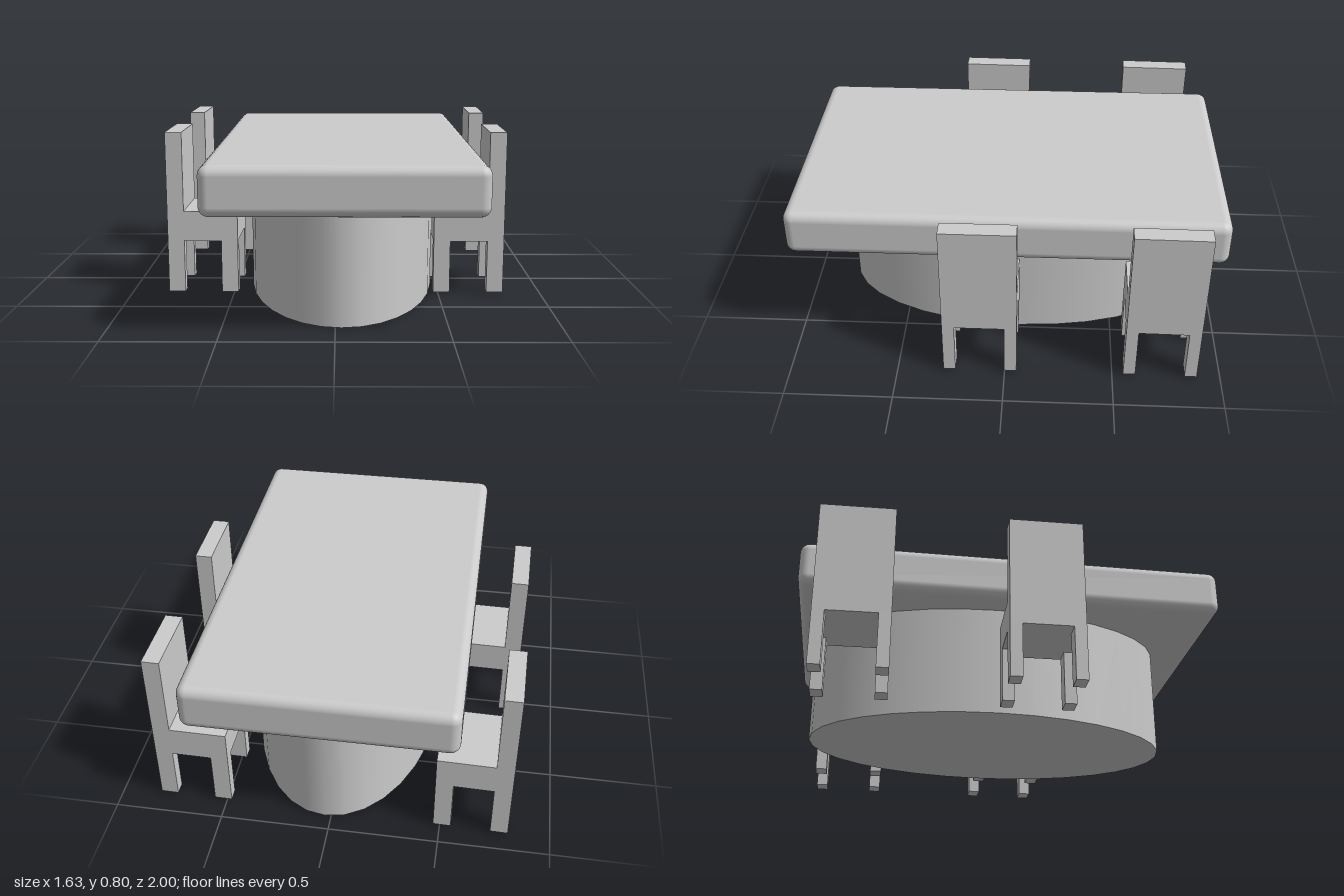
import * as THREE from 'three';
import { RoundedBoxGeometry } from 'three/addons/geometries/RoundedBoxGeometry.js';

const material = new THREE.MeshStandardMaterial({ color: 0xcccccc });

function addMesh(parent, name, geometry, x = 0, y = 0, z = 0) {
  const mesh = new THREE.Mesh(geometry, material);
  mesh.name = name;
  mesh.position.set(x, y, z);
  parent.add(mesh);
  return mesh;
}

// Chair with its backrest towards local +x, centred on x = z = 0
function createChair(name) {
  const chair = new THREE.Group();
  chair.name = name;
  const depth = 0.34, width = 0.34, bottom = 0.01, under = 0.265, seatTop = 0.41, top = 0.795;
  const legX = 0.08, legZ = 0.056, h = depth / 2;

  // Seat and backrest share one L-shaped side profile
  const profile = new THREE.Shape([
    [-h, under], [h, under], [h, top], [h - legX, top], [h - legX, seatTop], [-h, seatTop],
  ].map(([x, y]) => new THREE.Vector2(x, y)));
  const body = new THREE.ExtrudeGeometry(profile, { depth: width, bevelEnabled: false });
  addMesh(chair, 'seatAndBackrest', body.translate(0, 0, -width / 2));

  // Four square legs, flush with the seat corners
  const leg = new THREE.BoxGeometry(legX, under - bottom, legZ);
  for (const sx of [-1, 1]) for (const sz of [-1, 1]) {
    addMesh(chair, sx > 0 ? 'backLeg' : 'frontLeg', leg,
      sx * (h - legX / 2), (under + bottom) / 2, sz * (width - legZ) / 2);
  }
  return chair;
}

export function createModel() {
  const model = new THREE.Group();
  model.name = 'diningTableWithChairs';

  // Thick table top with rounded edges
  addMesh(model, 'tableTop', new RoundedBoxGeometry(1.22, 0.22, 2, 5, 0.045), 0.04, 0.64, 0);

  // Oval pedestal
  const pedestal = new THREE.CylinderGeometry(1, 1, 0.54, 32).scale(0.455, 1, 0.865);
  addMesh(model, 'pedestal', pedestal, 0.028, 0.27, -0.055);

  // Two chairs on each long side, each turned very slightly: name, x, z, turn
  const chairs = [
    ['leftFrontChair', 0.645, 0.115, 0],
    ['leftBackChair', 0.645, -0.723, -0.012],
    ['rightFrontChair', -0.644, 0.111, Math.PI - 0.018],
    ['rightBackChair', -0.644, -0.738, Math.PI - 0.022],
  ];
  for (const [name, x, z, turn] of chairs) {
    const chair = createChair(name);
    chair.position.set(x, 0, z);
    chair.rotation.y = turn;
    model.add(chair);
  }
  return model;
}
